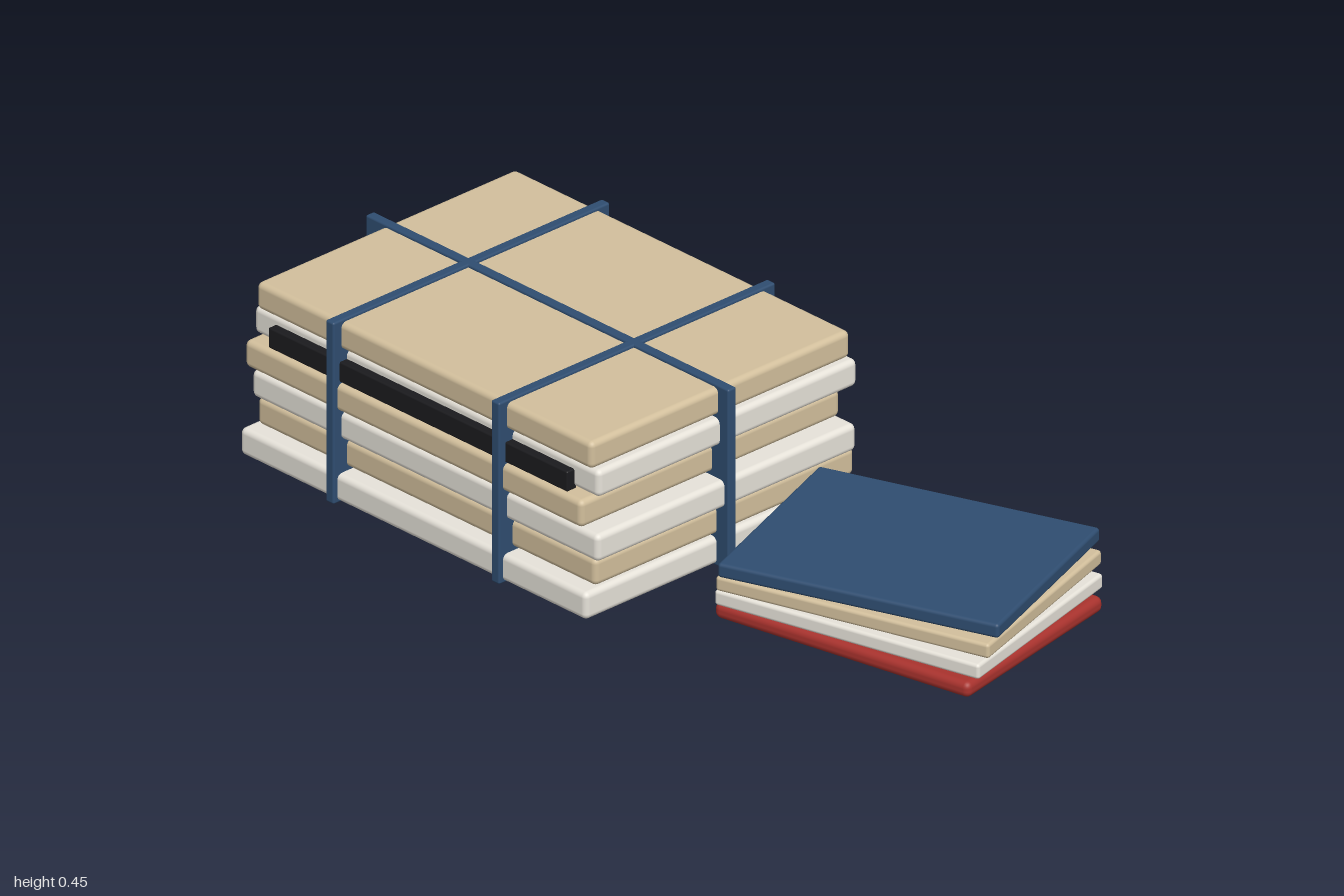
import * as THREE from 'three';
import { RoundedBoxGeometry } from 'three/addons/geometries/RoundedBoxGeometry.js';

const material = (color) => new THREE.MeshStandardMaterial({ color });
const TAN = material(0xd2bf9c);
const CREAM = material(0xe6e2d9);
const BLUE = material(0x2f4d70);
const RED = material(0xa8322d);
const BLACK = material(0x1b1b1e);

// Soft-edged block given by its limits on each axis
function block(name, mat, [x0, x1], [y0, y1], [z0, z1], radius) {
  const geometry = new RoundedBoxGeometry(x1 - x0, y1 - y0, z1 - z0, 3, radius);
  const mesh = new THREE.Mesh(geometry, mat);
  mesh.name = name;
  mesh.position.set((x0 + x1) / 2, (y0 + y1) / 2, (z0 + z1) / 2);
  return mesh;
}

// Six thick bundles, each slightly shifted, tied with three straps
function createTiedStack() {
  const stack = new THREE.Group();
  stack.name = 'tiedStack';
  const spans = [[-0.985, 0.12], [-0.96, 0.12], [-0.96, 0.145], [-0.97, 0.105], [-0.97, 0.13], [-0.945, 0.125]];
  const fronts = [0.447, 0.418, 0.435];
  spans.forEach((span, i) => {
    const y = 0.004 + i * 0.0742;
    const front = fronts[i % 3];
    stack.add(block('paperBundle' + (i + 1), i % 2 ? TAN : CREAM,
      span, [y, y + 0.067], [front - 0.787, front], 0.014));
  });

  // Straps stand slightly proud of the bundles on every side
  const height = [0, 0.449];
  stack.add(block('leftToRightStrap', BLUE, [-1, 0.157], height, [0.025, 0.05], 0.005));
  for (const x of [-0.685, -0.157]) {
    stack.add(block('frontToBackStrap', BLUE, [x - 0.013, x + 0.013], height, [-0.38, 0.459], 0.005));
  }

  // Dark strip on the front edge
  stack.add(block('frontStrip', BLACK, [-0.9, 0.053], [0.297, 0.347], [0.41, 0.44], 0.004));
  return stack;
}

// Four thin folders fanned about a shared centre
function createFolderStack() {
  const stack = new THREE.Group();
  stack.name = 'folderStack';
  stack.position.set(0.583, 0, -0.092);
  const folders = [
    ['redFolder', RED, 0.003, 0.042, 0.016],
    ['creamFolder', CREAM, 0.048, 0.085, 0.008],
    ['tanFolder', TAN, 0.095, 0.131, 0.008],
    ['blueFolder', BLUE, 0.14, 0.175, 0.008],
  ];
  folders.forEach(([name, mat, y0, y1, radius], i) => {
    const folder = block(name, mat, [-0.3425, 0.3425], [y0, y1], [-0.26, 0.26], radius);
    folder.rotation.y = 0.2 + i * 0.055;
    stack.add(folder);
  });
  return stack;
}

export function createModel() {
  const model = new THREE.Group();
  model.name = 'paperStacks';
  model.add(createTiedStack(), createFolderStack());
  return model;
}
